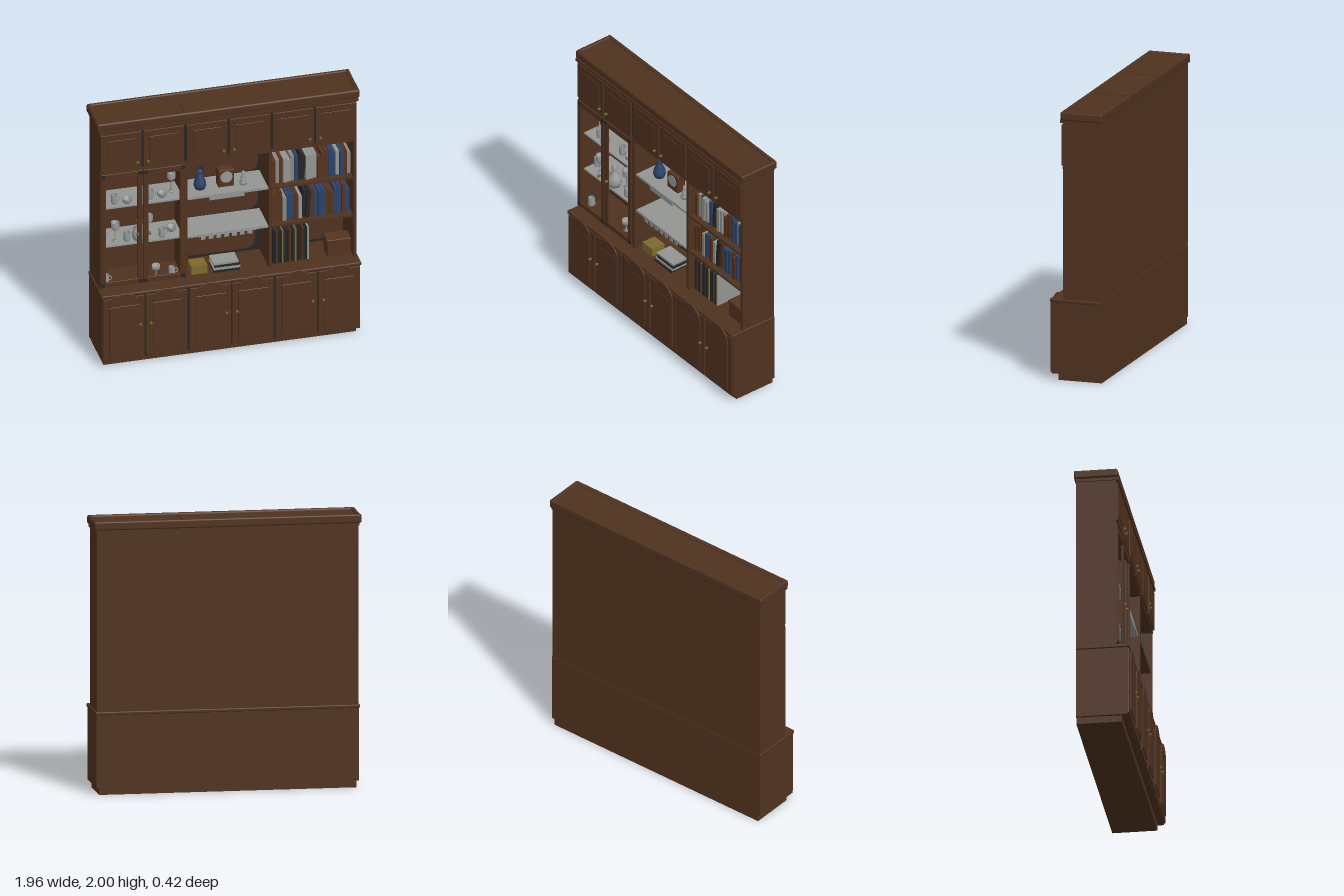
import * as THREE from 'three';
import { RoundedBoxGeometry } from 'three/addons/geometries/RoundedBoxGeometry.js';

const mat = (name, color, side = THREE.FrontSide) => {
  const m = new THREE.MeshStandardMaterial({ color, side });
  m.name = name;
  return m;
};

export function createModel() {
  const model = new THREE.Group();
  model.name = 'wallUnit';
  const wood = mat('walnut', 0x50321f);
  const leather = mat('leather brown', 0x56331f);
  const pale = mat('pale grey', 0x929591);
  const china = mat('china', 0x94989a, THREE.DoubleSide);
  const cream = mat('cream', 0x8a877e);
  const blue = mat('blue', 0x2d4268);
  const black = mat('charcoal', 0x262626);
  const brass = mat('brass', 0x75602a);
  const gold = mat('gold', 0x7d6a2e);

  const add = (name, geo, m, x = 0, y = 0, z = 0, parent = model) => {
    const mesh = new THREE.Mesh(geo, m);
    mesh.name = name;
    mesh.position.set(x, y, z);
    parent.add(mesh);
    return mesh;
  };
  // Box given by its limits on each axis
  const box = (name, m, x0, x1, y0, y1, z0, z1) =>
    add(name, new THREE.BoxGeometry(x1 - x0, y1 - y0, z1 - z0), m, (x0 + x1) / 2, (y0 + y1) / 2, (z0 + z1) / 2);
  const rounded = (name, m, x0, x1, y0, y1, z0, z1, r) =>
    add(name, new RoundedBoxGeometry(x1 - x0, y1 - y0, z1 - z0, 3, r), m, (x0 + x1) / 2, (y0 + y1) / 2, (z0 + z1) / 2);
  // Turned object from [radius, height] points
  const turned = (name, m, x, y, z, pts, seg = 20) =>
    add(name, new THREE.LatheGeometry(pts.map(p => new THREE.Vector2(p[0], p[1])), seg), m, x, y, z);
  const extrude = (shape, depth, bevel = 0) => new THREE.ExtrudeGeometry(shape, {
    depth, curveSegments: 20, bevelEnabled: bevel > 0, bevelSize: bevel, bevelThickness: bevel, bevelOffset: -bevel, bevelSegments: 1 });
  // Rectangle with corners rounded by r
  const rect = (T, x0, x1, y0, y1, r = 0) => {
    const s = new T();
    s.moveTo(x0 + r, y0); s.lineTo(x1 - r, y0); s.quadraticCurveTo(x1, y0, x1, y0 + r);
    s.lineTo(x1, y1 - r); s.quadraticCurveTo(x1, y1, x1 - r, y1);
    s.lineTo(x0 + r, y1); s.quadraticCurveTo(x0, y1, x0, y1 - r);
    s.lineTo(x0, y0 + r); s.quadraticCurveTo(x0, y0, x0 + r, y0);
    return s;
  };
  const knob = (x, y, z) => {
    const k = turned('knob', brass, x, y, z, [[0.005, 0], [0.005, 0.006], [0.01, 0.006], [0.01, 0.023], [0, 0.023]], 12);
    k.rotation.x = Math.PI / 2;
  };

  // Base cabinet, with a dark lining seen in the gaps between doors
  box('plinth', wood, -0.94, 0.94, 0, 0.052, -0.2, 0.13);
  box('baseCabinet', wood, -0.96, 0.96, 0.05, 0.58, -0.2, 0.175);
  box('baseLining', black, -0.95, 0.95, 0.06, 0.58, 0.175, 0.178);
  rounded('countertop', wood, -0.968, 0.968, 0.58, 0.606, -0.2, 0.188, 0.008);

  // Upper carcass: sides, dividers, back and closed top block
  for (const s of [-1, 1]) {
    box('side', wood, s * 0.945 - 0.012, s * 0.945 + 0.012, 0.605, 1.93, -0.2, 0.09);
    box('divider', wood, s * 0.315 - 0.012, s * 0.315 + 0.012, 0.605, 1.59, -0.19, 0.09);
  }
  box('backPanel', wood, -0.94, 0.94, 0.605, 1.93, -0.198, -0.185);
  box('topCabinet', wood, -0.94, 0.94, 1.57, 1.93, -0.19, 0.088);
  box('topLining', black, -0.93, 0.93, 1.597, 1.9, 0.088, 0.091);
  box('nicheLintel', wood, -0.95, 0.95, 1.572, 1.588, 0.08, 0.095);

  // Dark back trim with round-cornered openings, centre and right
  const trim = (x0, x1, holes) => {
    const s = rect(THREE.Shape, x0, x1, 0.606, 1.57);
    holes.forEach(h => s.holes.push(rect(THREE.Path, ...h)));
    add('backTrim', extrude(s, 0.003), black, 0, 0, -0.185);
  };
  trim(-0.303, 0.303, [[-0.295, 0.295, 1.272, 1.565, 0.09], [-0.295, 0.295, 0.952, 1.245, 0.09], [-0.27, 0.27, 0.625, 0.9, 0.08]]);
  trim(0.327, 0.933, [[0.332, 0.928, 1.272, 1.565, 0.04], [0.332, 0.928, 0.952, 1.245, 0.07], [0.62, 0.928, 0.625, 0.92, 0.08]]);

  // Cornice: a rounded frame round a sunken top
  box('corniceMoulding', wood, -0.965, 0.965, 1.915, 1.94, -0.2, 0.11);
  rounded('corniceFront', wood, -0.978, 0.978, 1.936, 2, 0.07, 0.105, 0.014);
  rounded('corniceBack', wood, -0.978, 0.978, 1.936, 2, -0.214, -0.185, 0.012);
  for (const s of [-1, 1]) {
    rounded('corniceEnd', wood, s * 0.962 - 0.016, s * 0.962 + 0.016, 1.936, 2, -0.214, 0.105, 0.014);
    box('topBatten', wood, s * 0.32 - 0.004, s * 0.32 + 0.004, 1.985, 1.992, -0.19, 0.08);
  }
  box('topPanel', wood, -0.955, 0.955, 1.938, 1.987, -0.2, 0.09);

  // Six bays of doors
  const bays = [-0.802, -0.483, -0.159, 0.159, 0.483, 0.802];
  bays.forEach((x, i) => {
    const opens = i % 2 ? -1 : 1;
    // Base door: raised panel with a separate arched head
    rounded('baseDoor', wood, x - 0.154, x + 0.154, 0.06, 0.575, 0.17, 0.187, 0.004);
    add('lowerPanel', extrude(rect(THREE.Shape, -0.111, 0.111, 0.1, 0.508), 0.01, 0.003), wood, x, 0, 0.183);
    const arch = new THREE.Shape();
    arch.absellipse(0, 0.508, 0.111, 0.104, 0, Math.PI, false, 0);
    arch.closePath();
    add('archedPanel', extrude(arch, 0.01, 0.003), wood, x, 0, 0.183);
    knob(x + opens * 0.12, 0.34, 0.187);

    // Top cupboard door
    rounded('topDoor', wood, x - 0.152, x + 0.152, 1.597, 1.9, 0.086, 0.104, 0.004);
    add('topDoorPanel', extrude(rect(THREE.Shape, -0.106, 0.106, 1.643, 1.85), 0.004, 0.002), wood, x, 0, 0.102);
    knob(x + opens * 0.12, 1.65, 0.104);
  });

  // Open framed doors of the display cabinet
  [-0.797, -0.481].forEach((x, i) => {
    const s = i ? -1 : 1;
    const frame = rect(THREE.Shape, -0.154, 0.154, 0.63, 1.572);
    frame.holes.push(rect(THREE.Path, -0.118, 0.118, 0.67, 1.525));
    add('displayDoor', extrude(frame, 0.011, 0.002), wood, x, 0, 0.092);
    knob(x + s * 0.115, 1.05, 0.105);
    // Dark corner plates
    for (const side of [-1, 1])
      for (const y of [0.632, 1.54])
        box('cornerPlate', black, x + side * 0.139 - 0.014, x + side * 0.139 + 0.014, y, y + 0.03, 0.104, 0.107);
  });

  // Shelves: pale ones left and centre, wooden ones on the right
  for (const y of [0.935, 1.255]) {
    box('displayShelf', pale, -0.933, -0.327, y, y + 0.012, -0.185, 0.06);
    box('centreShelf', pale, -0.303, 0.303, y - 0.003, y + 0.014, -0.185, 0.075);
    box('bookShelf', wood, 0.327, 0.933, y - 0.004, y + 0.014, -0.185, 0.08);
  }

  // Cloths lying on the centre shelves and hanging over the edge
  const cloth = new THREE.Shape();
  cloth.absellipse(0, 0, 0.24, 0.16, 0, Math.PI, false, 0);
  for (const y of [0.9495, 1.2695])
    add('cloth', extrude(cloth, 0.002), pale, 0, y, 0.075).rotation.x = -Math.PI / 2;
  box('clothDrop', pale, -0.135, 0.125, 1.228, 1.27, 0.075, 0.078);
  box('clothDrop', pale, -0.22, 0.22, 0.93, 0.951, 0.075, 0.078);
  for (let i = 0; i < 7; i++)
    box('clothTab', pale, -0.2 + i * 0.058, -0.165 + i * 0.058, 0.905, 0.93, 0.075, 0.078);

  // Ornaments
  turned('vase', blue, -0.177, 1.27, -0.04, [[0, 0], [0.036, 0], [0.046, 0.03], [0.043, 0.06], [0.02, 0.115], [0.018, 0.135], [0.026, 0.162], [0.015, 0.14], [0, 0.13]], 24);
  rounded('clockCase', leather, -0.047, 0.072, 1.27, 1.41, -0.08, -0.01, 0.006);
  add('clockFace', new THREE.CylinderGeometry(0.045, 0.045, 0.006, 28), china, 0.013, 1.352, -0.009).rotation.x = Math.PI / 2;
  turned('figurine', china, 0.14, 1.27, -0.02, [[0, 0], [0.027, 0], [0.027, 0.02], [0.018, 0.03], [0.02, 0.06], [0.009, 0.075], [0.013, 0.09], [0.01, 0.105], [0, 0.112]]);
  box('goldBox', gold, -0.262, -0.145, 0.606, 0.672, -0.06, 0.05);
  [[black, -0.1, 0.095], [pale, -0.1, 0.1], [black, -0.09, 0.1], [pale, -0.1, 0.09]].forEach(([m, x0, x1], i) =>
    box('magazine', m, x0, x1, 0.606 + i * 0.017, 0.622 + i * 0.017, -0.08, 0.065 - i * 0.006));

  // Glassware and cups
  const mug = (x, y, z) => {
    turned('mug', china, x, y, z, [[0, 0], [0.021, 0], [0.024, 0.01], [0.024, 0.068], [0.021, 0.068], [0.02, 0.006], [0, 0.006]]);
    add('mugHandle', new THREE.TorusGeometry(0.017, 0.004, 6, 14), china, x + 0.026, y + 0.036, z);
  };
  const cup = (x, y, z) => turned('cup', china, x, y, z, [[0, 0], [0.02, 0], [0.02, 0.004], [0.034, 0.014], [0.036, 0.04], [0.032, 0.038], [0, 0.008]]);
  const goblet = (x, y, z) => turned('goblet', china, x, y, z, [[0, 0], [0.024, 0], [0.024, 0.004], [0.004, 0.01], [0.004, 0.1], [0.026, 0.104], [0.031, 0.115], [0.031, 0.158], [0.027, 0.156], [0, 0.108]]);
  mug(-0.825, 1.267, 0); cup(-0.735, 1.267, 0.02); goblet(-0.905, 1.267, -0.06);
  mug(-0.56, 1.267, 0); cup(-0.47, 1.267, 0); goblet(-0.385, 1.267, -0.06);
  goblet(-0.82, 0.947, 0); mug(-0.735, 0.947, 0.01); mug(-0.905, 0.947, -0.04);
  goblet(-0.56, 0.947, -0.04); mug(-0.475, 0.947, 0.02); cup(-0.39, 0.947, -0.04);
  mug(-0.895, 0.62, 0.02); mug(-0.4, 0.606, 0.01);
  turned('footedCup', china, -0.515, 0.606, 0, [[0, 0], [0.022, 0], [0.004, 0.008], [0.004, 0.05], [0.03, 0.065], [0.03, 0.095], [0, 0.06]]);
  turned('carafe', china, -0.64, 0.947, 0.01, [[0, 0], [0.046, 0], [0.056, 0.035], [0.05, 0.08], [0.018, 0.11], [0.016, 0.145], [0.024, 0.15], [0.014, 0.175], [0, 0.19]]);

  // Books: one letter per colour, set along each shelf
  const colours = { c: cream, w: leather, p: pale, b: blue, k: black, g: gold };
  const heights = [0.2, 0.18, 0.225, 0.2, 0.21, 0.19, 0.2, 0.215];
  const row = (code, x0, x1, y, scale) => {
    const step = (x1 - x0) / code.length;
    [...code].forEach((c, i) => {
      const h = heights[(i * 3 + code.length) % 8] * scale;
      const book = box('book', colours[c], x0 + i * step, x0 + (i + 0.92) * step, y, y + h, -0.15, 0.04 - (i % 3) * 0.008);
      if (c === 'k') book.rotation.z = -0.1;
    });
  };
  row('wcwppcbkkpppwwwbbpbwc', 0.34, 0.93, 1.269, 0.98);
  row('wwwcbbwpkkwbbbwwbbwb', 0.332, 0.92, 0.949, 1.03);
  // Records in a tight row
  [...'kkwkkgkkkwkkgkkkwkkp'].forEach((c, i) =>
    box('record', colours[c], 0.345 + i * 0.0135, 0.356 + i * 0.0135, 0.606, 0.878 - (i % 3) * 0.003, -0.17, 0.05 - (i % 2) * 0.004));

  // Lidded casket
  box('casket', leather, 0.75, 0.92, 0.606, 0.715, -0.06, 0.05);
  rounded('casketLid', leather, 0.744, 0.926, 0.715, 0.742, -0.066, 0.056, 0.006);

  return model;
}
